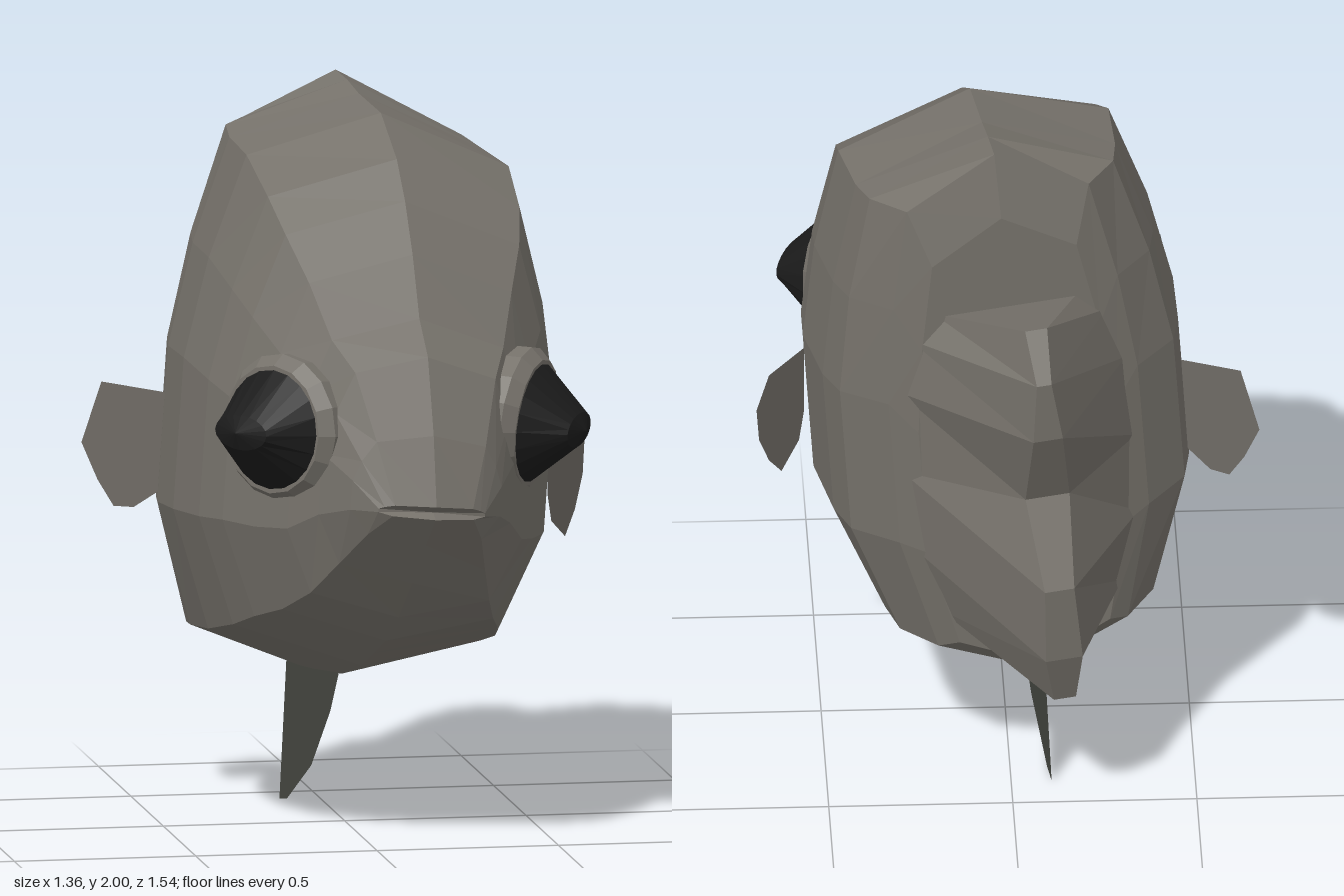
import * as THREE from 'three';

const mat = (name, color, opts = {}) => {
  const m = new THREE.MeshStandardMaterial({ color, ...opts });
  m.name = name;
  return m;
};

// The fish swims slightly turned and leaning: skew a straight point into place
const lean = ([x, y, z]) => [
  x + 0.035 + 0.12 * z + 0.07 * (y - 1.15),
  y - 0.09 * x,
  z - 0.11 * x,
];

// Closed loft; loops run counter-clockwise seen from the first end
function loft(loops) {
  const pos = [];
  const tri = (a, b, c) => pos.push(...lean(a), ...lean(b), ...lean(c));
  const n = loops[0].length;
  const middle = (loop) => [0, 1, 2].map((k) => loop.reduce((s, p) => s + p[k], 0) / n);
  const first = loops[0], last = loops[loops.length - 1];
  const c0 = middle(first), c1 = middle(last);
  for (let j = 0; j < n; j++) {
    const k = (j + 1) % n;
    for (let i = 0; i < loops.length - 1; i++) {
      const A = loops[i], B = loops[i + 1];
      tri(A[j], B[j], B[k]);
      tri(A[j], B[k], A[k]);
    }
    tri(c0, first[j], first[k]);
    tri(c1, last[k], last[j]);
  }
  const g = new THREE.BufferGeometry();
  g.setAttribute('position', new THREE.Float32BufferAttribute(pos, 3));
  g.computeVertexNormals();
  return g;
}

// Thin fin: flat outline placed in space by a rule
function finGeometry(outline, place) {
  const g = new THREE.ShapeGeometry(new THREE.Shape(outline.map(([a, b]) => new THREE.Vector2(a, b))));
  const p = g.attributes.position;
  for (let i = 0; i < p.count; i++) p.setXYZ(i, ...place(p.getX(i), p.getY(i)));
  g.computeVertexNormals();
  return g;
}

export function createModel() {
  const model = new THREE.Group();
  model.name = 'fish';
  const skin = mat('grey skin', 0x75716a, { flatShading: true });
  const finSkin = mat('grey fin', 0x6e6a64, { side: THREE.DoubleSide });
  const keelSkin = mat('dark olive fin', 0x454740, { side: THREE.DoubleSide });
  const black = mat('black eye', 0x1b1b1b, { flatShading: true });
  const add = (parent, name, geometry, material) => {
    const m = new THREE.Mesh(geometry, material);
    m.name = name;
    parent.add(m);
  };

  // Body: one half profile, scaled along z by [z, top, bottom, half width, side sweep]
  const half = [[0.73, 0.915], [0.9, 0.73], [1, 0.55], [1, 0.28], [0.76, 0.07]];
  const profile = [
    [0, 1], ...half.map(([x, t]) => [-x, t]), [0, 0], ...half.slice().reverse(),
  ];
  const stations = [
    [0.77, 0.985, 0.95, 0.15, 0.04], [0.7, 1.17, 0.87, 0.21, 0.03], [0.6, 1.37, 0.75, 0.27, 0.02],
    [0.5, 1.46, 0.64, 0.33, 0], [0.4, 1.62, 0.56, 0.39, 0], [0.3, 1.75, 0.51, 0.45, 0],
    [0.2, 1.85, 0.46, 0.485, 0], [0.03, 1.95, 0.41, 0.505, 0], [-0.18, 1.97, 0.385, 0.485, 0],
    [-0.29, 1.99, 0.375, 0.455, 0], [-0.4, 2.0, 0.37, 0.34, 0], [-0.44, 1.82, 0.41, 0.27, 0],
  ];
  add(model, 'body', loft(stations.map(([z, top, bottom, w, sweep]) =>
    profile.map(([x, t]) => [x * w, bottom + t * (top - bottom), z - sweep * x * x]))), skin);

  // Tail: [root y, root half width, edge y, edge z, edge half width]
  const tailRows = [
    [1.53, 0.2, 1.61, -0.69, 0.03], [1.46, 0.27, 1.48, -0.77, 0.02],
    [1.3, 0.31, 1.3, -0.76, 0.04], [1.05, 0.32, 1.05, -0.64, 0.06],
    [0.81, 0.31, 0.81, -0.74, 0.04], [0.6, 0.25, 0.58, -0.72, 0.05],
    [0.51, 0.15, 0.42, -0.66, 0.03],
  ];
  add(model, 'tail', loft(tailRows.map(([yr, wr, ye, ze, we]) => [
    [we - 0.04, ye, ze], [-we - 0.04, ye, ze], [-wr, yr, -0.4], [wr, yr, -0.4],
  ])), skin);

  // Side fins
  add(model, 'leftFin', finGeometry(
    [[0.09, 1.1], [-0.05, 1.1], [-0.1, 1.02], [-0.09, 0.92], [-0.05, 0.83], [0, 0.765], [0.07, 0.82], [0.09, 0.9]],
    (z, y) => [0.55 + (0.08 - z) * 0.72, y, z]), finSkin);
  add(model, 'rightFin', finGeometry(
    [[-0.63, 1.19], [-0.46, 1.17], [-0.46, 0.92], [-0.55, 0.85], [-0.6, 0.85], [-0.64, 0.92], [-0.68, 1.02]],
    (x, y) => [x, y, -0.13 + 0.6 * (x + 0.47)]), finSkin);

  // Keel fin underneath
  add(model, 'bottomFin', finGeometry(
    [[0.04, 0.43], [-0.02, 0.3], [-0.15, 0.13], [-0.33, 0.01], [-0.39, 0], [-0.39, 0.43]],
    (z, y) => [-0.11 + 0.05 * y + 0.16 * (z + 0.39), y, z]), keelSkin);

  // Bulging eyes in round sockets, facing local +z
  const lathe = (points, n) =>
    new THREE.LatheGeometry(points.map(([r, h]) => new THREE.Vector2(r, h)), n).rotateX(Math.PI / 2);
  const socket = lathe([[0.2, -0.09], [0.205, -0.01], [0.175, 0.025], [0, 0.025]], 16);
  const ball = lathe([[0.172, 0.015], [0.095, 0.148], [0, 0.17]], 20);
  // Pinch the tip of the eye into a short level ridge
  const p = ball.attributes.position;
  for (let i = 0; i < p.count; i++) if (p.getZ(i) > 0.1) p.setY(i, p.getY(i) * 0.5);
  for (const [name, centre, out] of [
    ['leftEye', [0.43, 1.155, 0.42], [0.87, -0.1, 0.49]],
    ['rightEye', [-0.27, 1.165, 0.48], [-0.8, 0.05, 0.6]],
  ]) {
    const eye = new THREE.Group();
    eye.name = name;
    add(eye, 'socket', socket, skin);
    add(eye, 'eyeball', ball, black);
    eye.position.set(...centre);
    eye.lookAt(...centre.map((c, i) => c + out[i]));
    model.add(eye);
  }
  return model;
}
